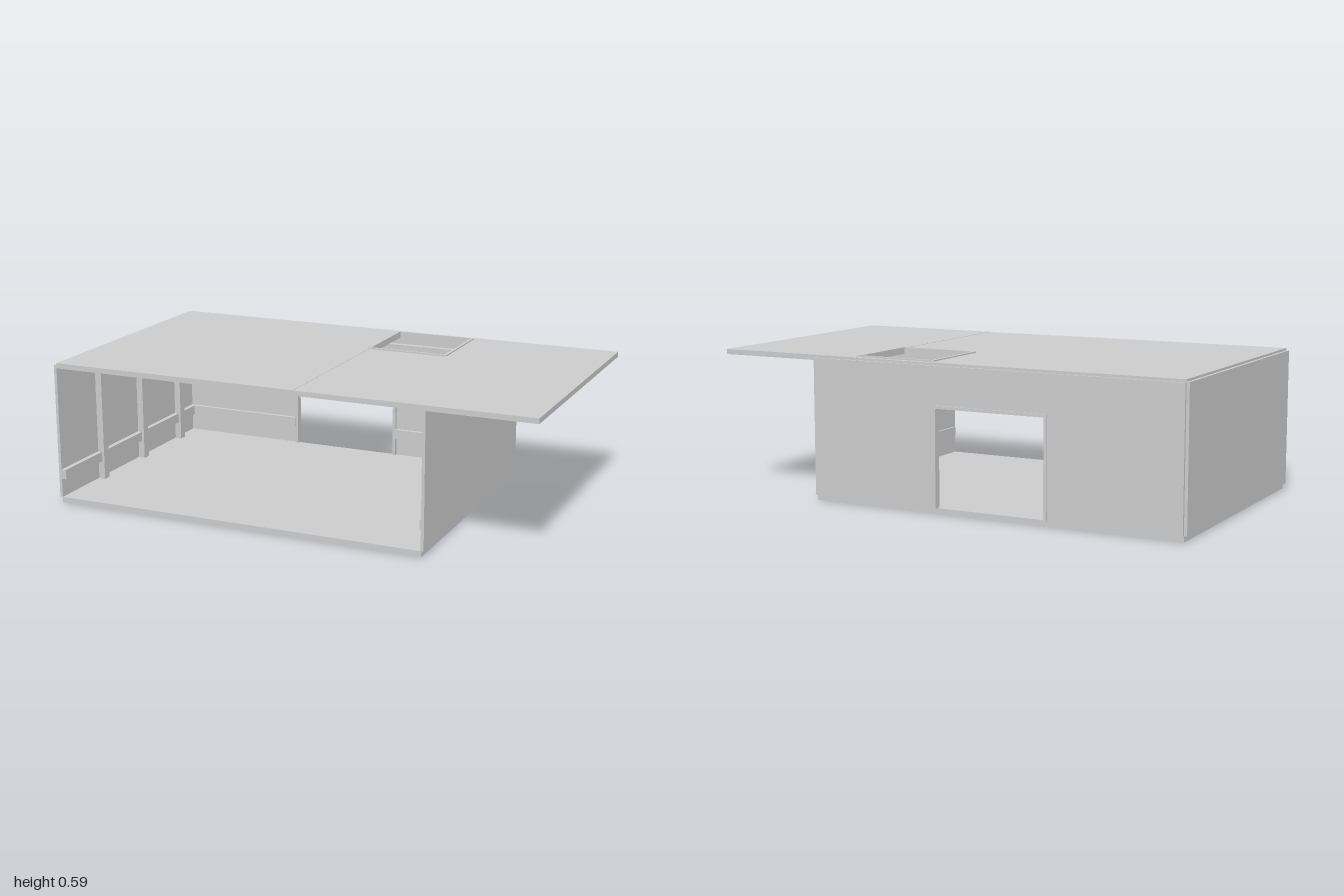
import * as THREE from 'three';

export function createModel() {
  const model = new THREE.Group();
  const material = new THREE.MeshStandardMaterial({ color: 0xcccccc });

  // Box from its minimum and maximum corners
  const box = (name, x0, x1, y0, y1, z0, z1) => {
    const mesh = new THREE.Mesh(new THREE.BoxGeometry(x1 - x0, y1 - y0, z1 - z0), material);
    mesh.name = name;
    mesh.position.set((x0 + x1) / 2, (y0 + y1) / 2, (z0 + z1) / 2);
    model.add(mesh);
    return mesh;
  };

  // Floor in three boards
  const depth = 1.09 / 3;
  for (let i = 0; i < 3; i++) {
    box('floorBoard', -0.988, 0.568, 0, 0.023, -0.54 + i * depth, -0.54 + (i + 1) * depth);
  }

  // Side walls, standing just outside the floor
  box('rightWall', -1, -0.988, 0.023, 0.572, -0.54, 0.55);
  box('leftWall', 0.565, 0.577, 0.023, 0.56, -0.54, 0.55);

  // Back wall around the doorway
  box('backWallRight', -0.988, -0.445, 0.023, 0.57, -0.55, -0.54);
  box('backWallLeft', 0.025, 0.568, 0.023, 0.57, -0.55, -0.54);
  box('backWallHeader', -0.445, 0.025, 0.415, 0.57, -0.55, -0.54);

  // Door frame
  box('doorJamb', -0.453, -0.44, 0.023, 0.42, -0.555, -0.525);
  box('doorJamb', 0.018, 0.031, 0.023, 0.42, -0.555, -0.525);
  box('doorLintel', -0.44, 0.018, 0.408, 0.42, -0.555, -0.525);

  // Roof: two wide panels and a narrow strip broken by the hatch
  box('roofPanelRight', -0.988, 0.05, 0.56, 0.581, -0.54, 0.55);
  box('roofPanelLeft', 0.382, 1, 0.56, 0.581, -0.54, 0.55);
  box('roofStrip', 0.05, 0.382, 0.56, 0.58, -0.18, 0.55);
  box('roofStripBack', 0.05, 0.382, 0.56, 0.58, -0.54, -0.515);

  // Hatch frame
  const shape = new THREE.Shape([[0.045, 0.18], [0.387, 0.18], [0.387, 0.518], [0.045, 0.518]]
    .map(([x, y]) => new THREE.Vector2(x, y)));
  shape.holes.push(new THREE.Path([[0.057, 0.19], [0.057, 0.507], [0.375, 0.507], [0.375, 0.19]]
    .map(([x, y]) => new THREE.Vector2(x, y))));
  const hatch = new THREE.Mesh(
    new THREE.ExtrudeGeometry(shape, { depth: 0.027, bevelEnabled: false }), material);
  hatch.name = 'hatchFrame';
  hatch.rotation.x = -Math.PI / 2;
  hatch.position.y = 0.559;
  model.add(hatch);

  // Roof joists, each carried by a post on the right wall
  for (const z of [-0.39, -0.065, 0.26]) {
    box('roofJoist', -0.988, 0.565, 0.51, 0.56, z - 0.012, z + 0.012);
    box('wallPost', -0.985, -0.957, 0.023, 0.51, z - 0.018, z + 0.018);
  }
  box('backJoist', -0.988, 0.565, 0.51, 0.56, -0.54, -0.518);

  // Low rails along the walls
  box('sideRail', -0.988, -0.967, 0.1, 0.14, -0.54, 0.55);
  box('leftSideRail', 0.556, 0.565, 0.1, 0.14, -0.54, 0.54);
  box('backRail', -0.967, -0.453, 0.1, 0.14, -0.54, -0.522);
  box('backRail', 0.031, 0.556, 0.1, 0.14, -0.54, -0.522);

  return model;
}
